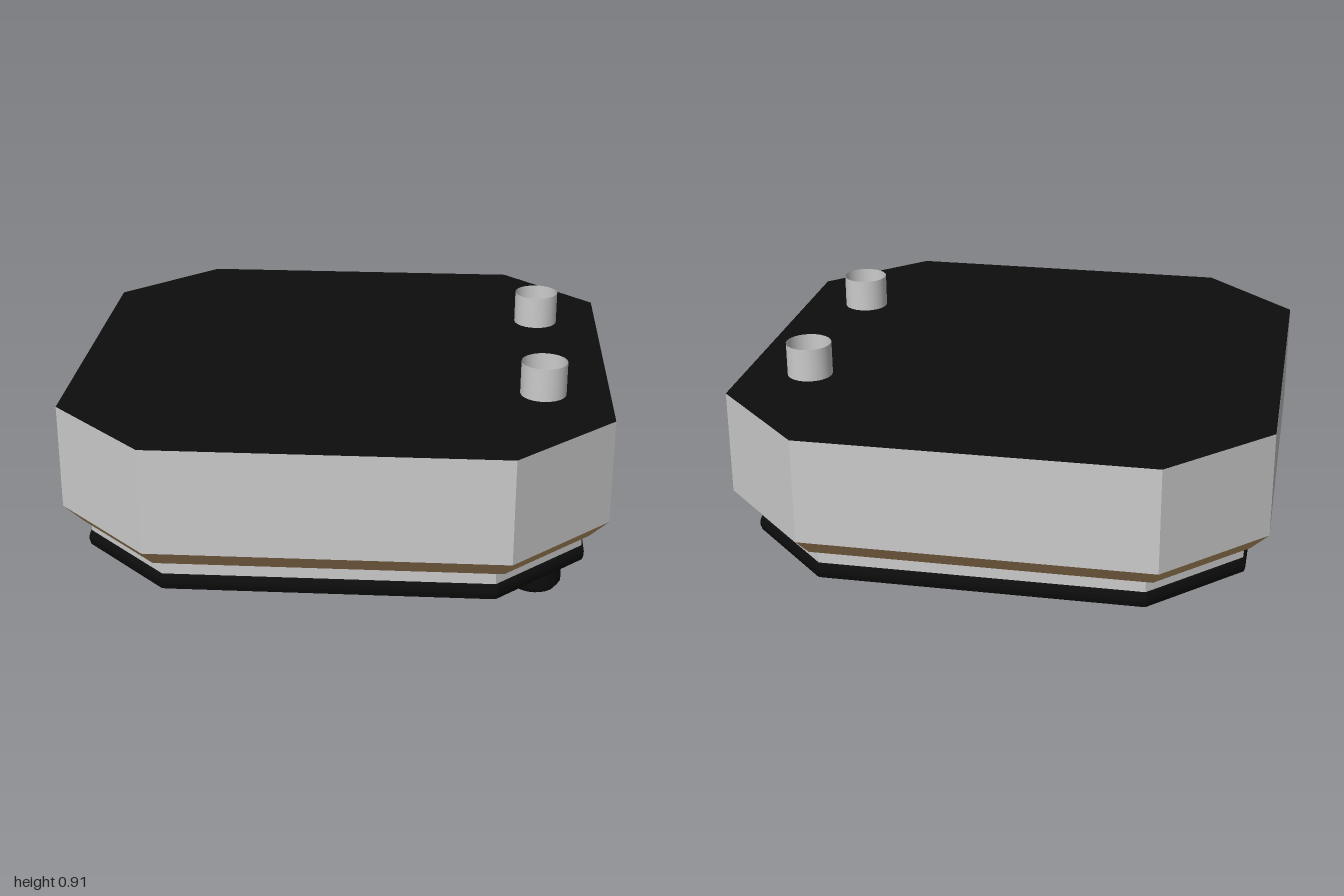
import * as THREE from 'three';

const grey = new THREE.MeshStandardMaterial({ color: 0xcccccc });
const greyOpen = new THREE.MeshStandardMaterial({ color: 0xcccccc, side: THREE.DoubleSide });
const black = new THREE.MeshStandardMaterial({ color: 0x0d0d0d });
const tan = new THREE.MeshStandardMaterial({ color: 0xc8a070 });

// Octagonal ring of points: half = half width, corner = where the chamfer starts
function ring([half, corner, y]) {
  const h = half, c = corner;
  return [[h, c], [c, h], [-c, h], [-h, c], [-h, -c], [-c, -h], [c, -h], [h, -c]]
    .map(([x, z]) => new THREE.Vector3(x, y, z));
}

// Flat-sided skin through octagonal rows; rows running upward face outward
function octagonSkin(rows) {
  const points = [];
  for (let r = 0; r < rows.length - 1; r++) {
    const low = ring(rows[r]), high = ring(rows[r + 1]);
    for (let i = 0; i < 8; i++) {
      const j = (i + 1) % 8;
      if (rows[r][0] > 0) points.push(low[i], high[i], low[j]);
      if (rows[r + 1][0] > 0) points.push(low[j], high[i], high[j]);
    }
  }
  const geometry = new THREE.BufferGeometry().setFromPoints(points);
  geometry.computeVertexNormals();
  return geometry;
}

export function createModel() {
  const model = new THREE.Group();
  const add = (name, geometry, material) => {
    const mesh = new THREE.Mesh(geometry, material);
    mesh.name = name;
    model.add(mesh);
    return mesh;
  };
  const row = (half, y) => [half, half * 0.65, y];

  // Upper body
  const top = [1, 0.643, 0.785], waist = [1, 0.643, 0.39], step = [0.935, 0.618, 0.32];
  add('topPanel', octagonSkin([top, [0, 0, 0.785]]), black);
  add('outerWall', octagonSkin([waist, top]), grey);
  add('bevelTrim', octagonSkin([step, waist]), tan);
  add('bevelUnderside', octagonSkin([row(0.91, 0.32), step]), black);

  // Lower skirt and its hollow inside
  add('skirt', octagonSkin([row(0.91, 0.26), row(0.91, 0.32)]), grey);
  add('innerWall', octagonSkin([row(0.868, 0.67), row(0.868, 0.203)]), grey);
  add('ceiling', octagonSkin([[0, 0, 0.67], row(0.868, 0.67)]), black);

  // Rounded rubber rim
  add('rim', octagonSkin([
    row(0.87, 0.2), row(0.9, 0.2), row(0.915, 0.21), row(0.92, 0.23),
    row(0.92, 0.245), row(0.915, 0.262), row(0.905, 0.27), row(0.87, 0.27),
  ]), black);

  // Open posts through the body, each on a rubber foot
  const footProfile = [[0, 0], [0.083, 0], [0.101, 0.025], [0.101, 0.165], [0.085, 0.188], [0, 0.188]]
    .map(([x, y]) => new THREE.Vector2(x, y));
  for (const side of [1, -1]) {
    const label = side > 0 ? 'front' : 'back';
    const post = add(label + 'Post', new THREE.CylinderGeometry(0.085, 0.085, 0.73, 24, 1, true), greyOpen);
    post.position.set(0.755, 0.545, side * 0.395);
    const foot = add(label + 'Foot', new THREE.LatheGeometry(footProfile, 24), black);
    foot.position.set(0.755, 0, side * 0.395);
  }

  // Cross bar joining the posts
  const bar = add('crossBar', new THREE.CylinderGeometry(0.05, 0.05, 0.79, 20), grey);
  bar.rotation.x = Math.PI / 2;
  bar.position.set(0.755, 0.265, 0);

  return model;
}
